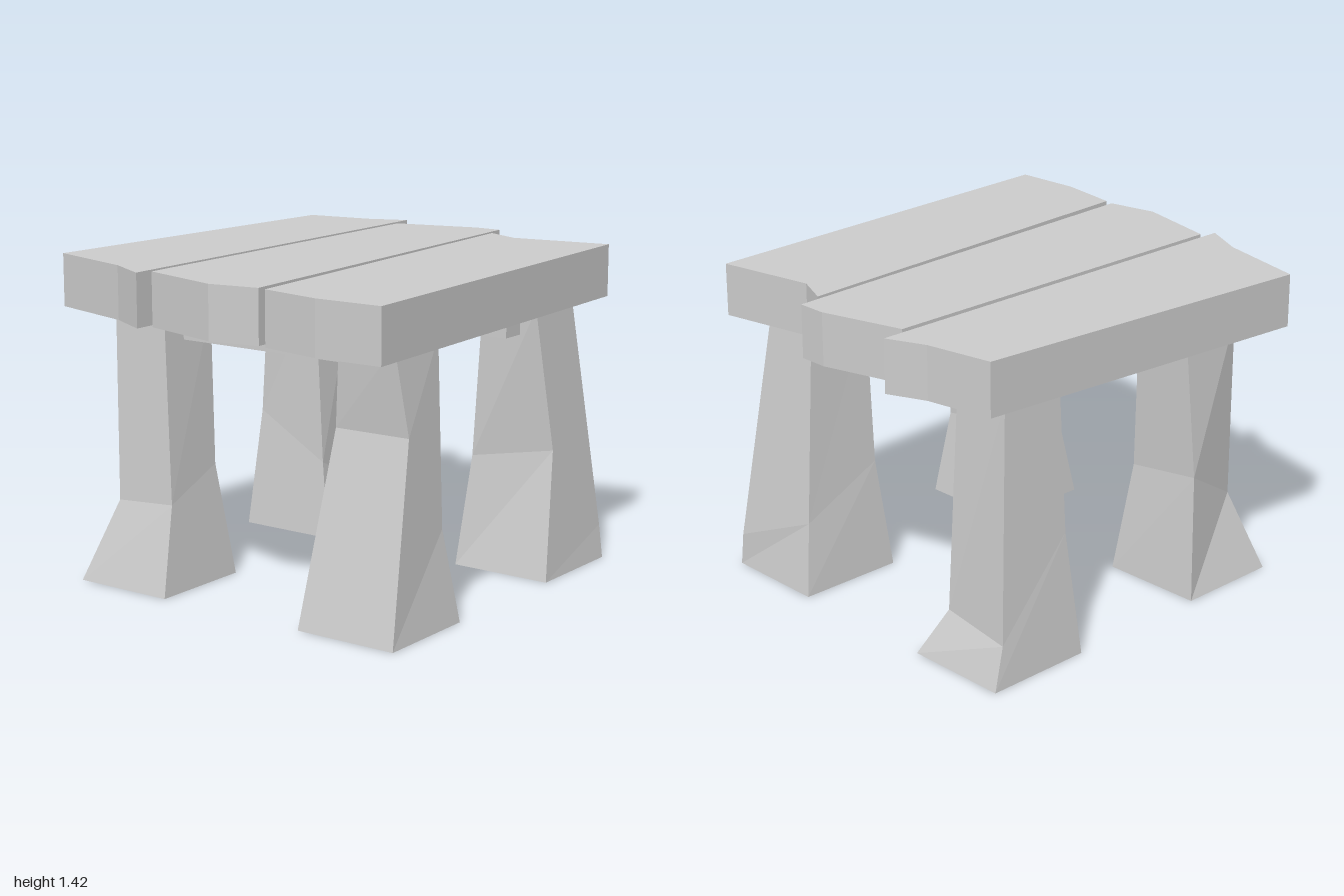
import * as THREE from 'three';

const LEG_TOP = 1.19;
const grey = new THREE.MeshStandardMaterial({ color: 0xcccccc, flatShading: true });
const openGrey = new THREE.MeshStandardMaterial({ color: 0xcccccc, flatShading: true, side: THREE.DoubleSide });

// Flat slab from an [x, z] outline, between two heights
function slab(name, outline, y0, y1) {
  const shape = new THREE.Shape(outline.map(([x, z]) => new THREE.Vector2(x, -z)));
  const geometry = new THREE.ExtrudeGeometry(shape, { depth: y1 - y0, bevelEnabled: false });
  geometry.rotateX(-Math.PI / 2).translate(0, y0, 0);
  const mesh = new THREE.Mesh(geometry, grey);
  mesh.name = name;
  return mesh;
}

// Corners of a rectangle, anticlockwise seen from above, starting at the front
const corners = (x0, x1, z0, z1, y) => [[x0, y, z1], [x1, y, z1], [x1, y, z0], [x0, y, z0]];

// Rough-hewn leg, open at the foot: each corner edge bends at its own knee
function leg(name, foot, knees, top) {
  const rings = [corners(...foot, 0), knees, corners(...top, LEG_TOP)];
  const index = [];
  for (let r = 0; r < 2; r++) {
    for (let i = 0; i < 4; i++) {
      const j = (i + 1) % 4;
      const a = r * 4 + i, b = r * 4 + j;
      index.push(a, b, b + 4, a, b + 4, a + 4);
    }
  }
  const indexed = new THREE.BufferGeometry();
  indexed.setAttribute('position', new THREE.Float32BufferAttribute(rings.flat(2), 3));
  indexed.setIndex(index);
  const geometry = indexed.toNonIndexed();
  geometry.computeVertexNormals();
  const mesh = new THREE.Mesh(geometry, openGrey);
  mesh.name = name;
  return mesh;
}

export function createModel() {
  const model = new THREE.Group();
  model.name = 'stool';

  // Three uneven seat planks
  const planks = {
    rightPlank: [[-0.81, -0.88], [-0.93, 0.73], [-0.52, 0.84], [-0.33, 0.94], [-0.34, -1.0], [-0.51, -0.93]],
    middlePlank: [[-0.31, -0.88], [-0.30, 0.88], [0.08, 0.98], [0.30, 0.94], [0.19, -0.98], [0.06, -0.98]],
    leftPlank: [[0.22, -0.87], [0.34, 0.95], [0.62, 1.0], [0.92, 0.99], [0.82, -0.88], [0.38, -0.80]],
  };
  for (const [name, outline] of Object.entries(planks)) model.add(slab(name, outline, LEG_TOP, 1.42));

  // Cross beams under the planks
  model.add(slab('frontBeam', [[-0.57, 0.22], [-0.57, 0.53], [0.59, 0.53], [0.59, 0.285]], 1.07, 1.185));
  model.add(slab('backBeam', [[-0.62, -0.71], [-0.62, -0.30], [0.66, -0.30], [0.66, -0.56]], 1.07, 1.185));

  // Four flared legs: foot and top as x0, x1, z0, z1
  model.add(leg('frontLeftLeg', [0.37, 0.84, 0.31, 0.79],
    [[0.43, 0.82, 0.61], [0.78, 0.82, 0.60], [0.785, 0.40, 0.365], [0.42, 0.45, 0.37]],
    [0.47, 0.74, 0.34, 0.645]));
  model.add(leg('frontRightLeg', [-0.81, -0.34, 0.31, 0.79],
    [[-0.68, 0.36, 0.68], [-0.385, 0.38, 0.68], [-0.40, 0.50, 0.37], [-0.76, 0.55, 0.36]],
    [-0.71, -0.44, 0.34, 0.645]));
  model.add(leg('backLeftLeg', [0.37, 0.84, -0.86, -0.37],
    [[0.42, 0.50, -0.42], [0.79, 0.56, -0.49], [0.82, 0.15, -0.86], [0.41, 0.32, -0.81]],
    [0.47, 0.74, -0.71, -0.41]));
  model.add(leg('backRightLeg', [-0.81, -0.34, -0.86, -0.37],
    [[-0.76, 0.55, -0.42], [-0.39, 0.35, -0.40], [-0.43, 0.20, -0.76], [-0.79, 0.18, -0.80]],
    [-0.71, -0.44, -0.71, -0.41]));

  return model;
}
